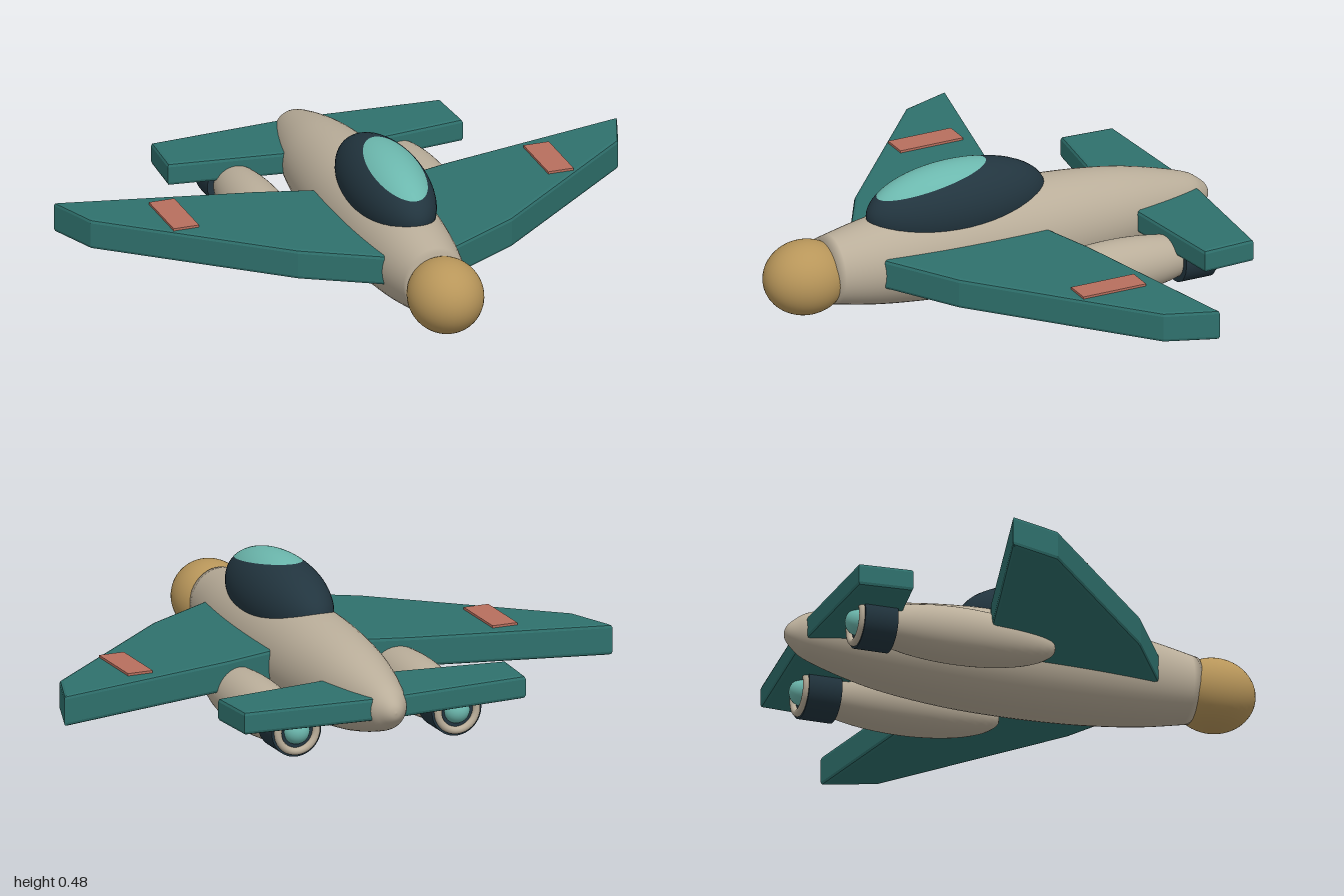
import * as THREE from 'three';

const mat = (name, color) => {
  const m = new THREE.MeshStandardMaterial({ color });
  m.name = name;
  return m;
};

export function createModel() {
  const hull = mat('hull beige', 0xbaae9a);
  const teal = mat('wing teal', 0x2f716d);
  const gold = mat('nose gold', 0xb8965a);
  const dark = mat('dark blue', 0x22353f);
  const glow = mat('light teal', 0x6cb8ae);
  const red = mat('stripe red', 0xb86f5e);

  const root = new THREE.Group();
  root.name = 'aircraft';
  const add = (name, geometry, material, x = 0, y = 0, z = 0, parent = root) => {
    const mesh = new THREE.Mesh(geometry, material);
    mesh.name = name;
    mesh.position.set(x, y, z);
    parent.add(mesh);
    return mesh;
  };

  // Symmetric flat slab from one half of its plan outline, given as [x, z]
  const slab = (half, bottom, top, bevel = 0.012) => {
    const mirrored = half.map(([x, z]) => [-x, z]).reverse();
    const shape = new THREE.Shape([...half, ...mirrored].map(([x, z]) => new THREE.Vector2(x, z)));
    const g = new THREE.ExtrudeGeometry(shape, {
      depth: top - bottom - 2 * bevel, bevelThickness: bevel,
      bevelSize: bevel, bevelOffset: -bevel, bevelSegments: 2,
    });
    return g.rotateX(Math.PI / 2).translate(0, top - bevel, 0);
  };

  // Fuselage: smooth spindle, slightly taller than wide
  const profile = [[-0.822, 0], [-0.815, 0.022], [-0.79, 0.046], [-0.74, 0.075], [-0.6, 0.114],
    [-0.45, 0.142], [-0.25, 0.161], [-0.05, 0.166], [0.15, 0.162], [0.3, 0.152],
    [0.45, 0.135], [0.61, 0.106]];
  const curve = new THREE.SplineCurve(profile.map(([z, r]) => new THREE.Vector2(r, z)));
  const points = curve.getPoints(44);
  points[0].x = 0;
  points.push(new THREE.Vector2(0, 0.61));
  add('fuselage', new THREE.LatheGeometry(points, 48).rotateX(Math.PI / 2).scale(1, 1.08, 1),
    hull, 0, 0.183, 0);

  // Nose ball
  add('nose', new THREE.SphereGeometry(1, 40, 28).scale(0.127, 0.127, 0.145), gold, 0, 0.175, 0.68);

  // Canopy: dark ellipsoid whose upper front cap is light glass
  const tilt = THREE.MathUtils.degToRad(21.4);
  const cap = THREE.MathUtils.degToRad(41);
  const canopyPart = (start, length) =>
    new THREE.SphereGeometry(1, 48, 24, 0, Math.PI * 2, start, length)
      .rotateX(tilt).scale(0.133, 0.145, 0.328);
  add('canopyGlass', canopyPart(0, cap), glow, 0, 0.336, 0.118);
  add('canopyFrame', canopyPart(cap, Math.PI - cap), dark, 0, 0.336, 0.118);

  // Main wings and tailplane
  add('wings', slab([[0.13, 0.447], [0.38, 0.3], [0.937, -0.178], [1, -0.357],
    [0.335, -0.21], [0.13, -0.15]], 0.133, 0.239), teal);
  add('tailplane', slab([[0.12, -0.494], [0.524, -0.545], [0.513, -0.733], [0.06, -0.762]],
    0.146, 0.226), teal);

  for (const [side, s] of [['left', 1], ['right', -1]]) {
    // Painted wing stripe
    add(side + 'WingStripe', new THREE.BoxGeometry(0.09, 0.009, 0.234), red, s * 0.665, 0.2425, -0.113);

    // Engine: pod, nozzle, exhaust ring and glowing core
    const engine = new THREE.Group();
    engine.name = side + 'Engine';
    engine.position.set(s * 0.292, 0.117, 0);
    root.add(engine);
    add('enginePod', new THREE.SphereGeometry(1, 36, 28).scale(0.094, 0.097, 0.345),
      hull, 0, 0, -0.315, engine);
    add('nozzle', new THREE.CylinderGeometry(0.09, 0.09, 0.115, 36).rotateX(Math.PI / 2),
      dark, 0, 0, -0.607, engine);
    add('exhaustRing', new THREE.TorusGeometry(0.07, 0.013, 12, 36), hull, 0, 0, -0.668, engine);
    add('exhaustCore', new THREE.SphereGeometry(0.046, 24, 16), glow, 0, 0, -0.66, engine);
  }
  return root;
}
